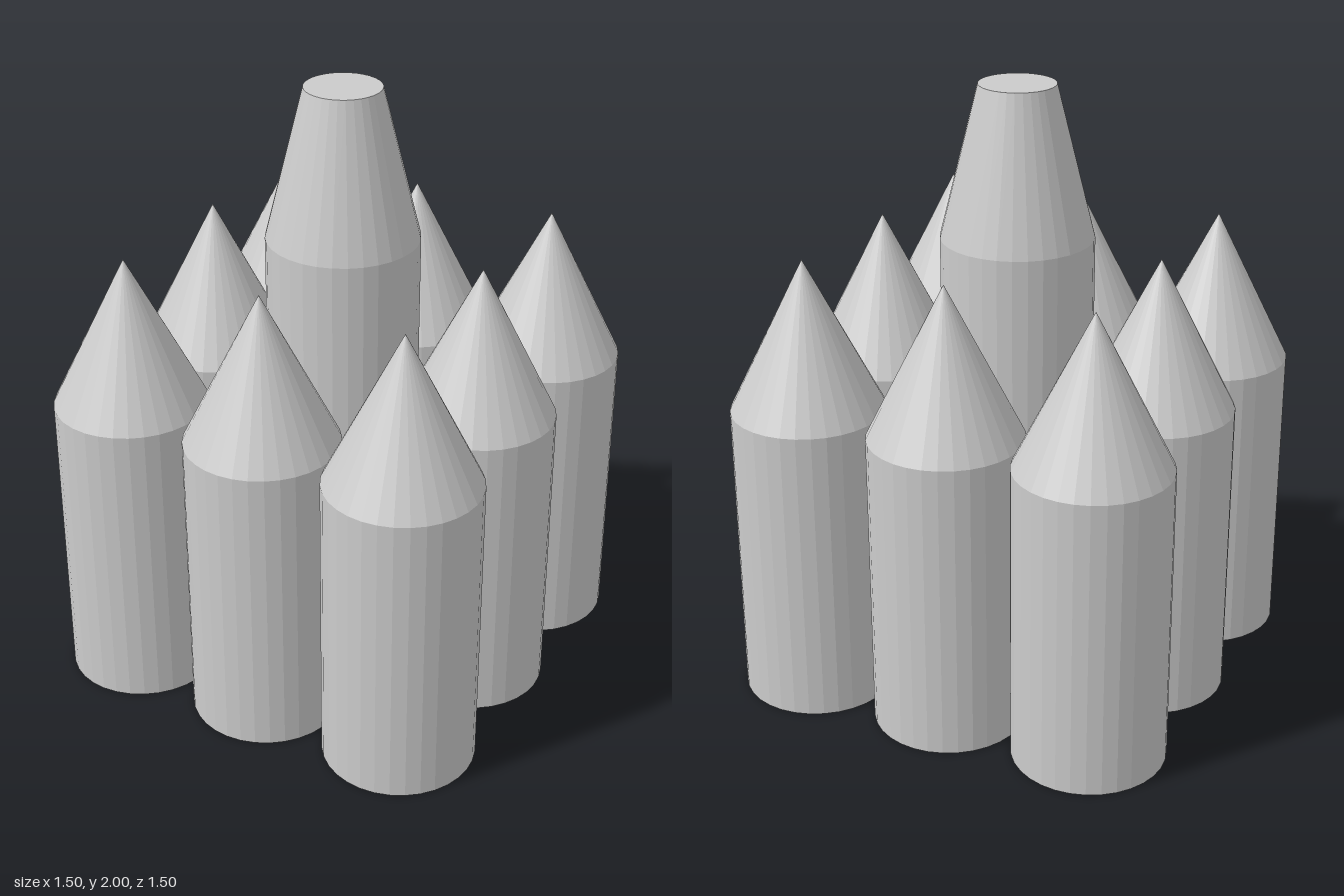
import * as THREE from 'three';

const RADIUS = 0.25;
const SPACING = 0.5;
const SIDES = 32;

const material = new THREE.MeshStandardMaterial({ color: 0xcccccc, flatShading: true });

// Closed column with a pointed or blunt tip, turned from one profile
function column(name, bodyHeight, tipHeight, tipRadius) {
  const group = new THREE.Group();
  group.name = name;

  const body = new THREE.Mesh(
    new THREE.CylinderGeometry(RADIUS, RADIUS, bodyHeight, SIDES), material);
  body.name = 'body';
  body.position.y = bodyHeight / 2;

  const tip = new THREE.Mesh(
    tipRadius > 0
      ? new THREE.CylinderGeometry(tipRadius, RADIUS, tipHeight, SIDES)
      : new THREE.ConeGeometry(RADIUS, tipHeight, SIDES),
    material);
  tip.name = 'tip';
  tip.position.y = bodyHeight + tipHeight / 2;

  group.add(body, tip);
  return group;
}

export function createModel() {
  const model = new THREE.Group();
  model.name = 'towerCluster';

  // Three by three grid: a tall blunt tower ringed by eight pointed ones
  for (let row = -1; row <= 1; row++) {
    for (let col = -1; col <= 1; col++) {
      const isCentre = row === 0 && col === 0;
      const tower = isCentre
        ? column('centralTower', 1.5, 0.5, 0.125)
        : column('outerTower', 1, 0.5, 0);
      tower.position.set(col * SPACING, 0, row * SPACING);
      model.add(tower);
    }
  }
  return model;
}
